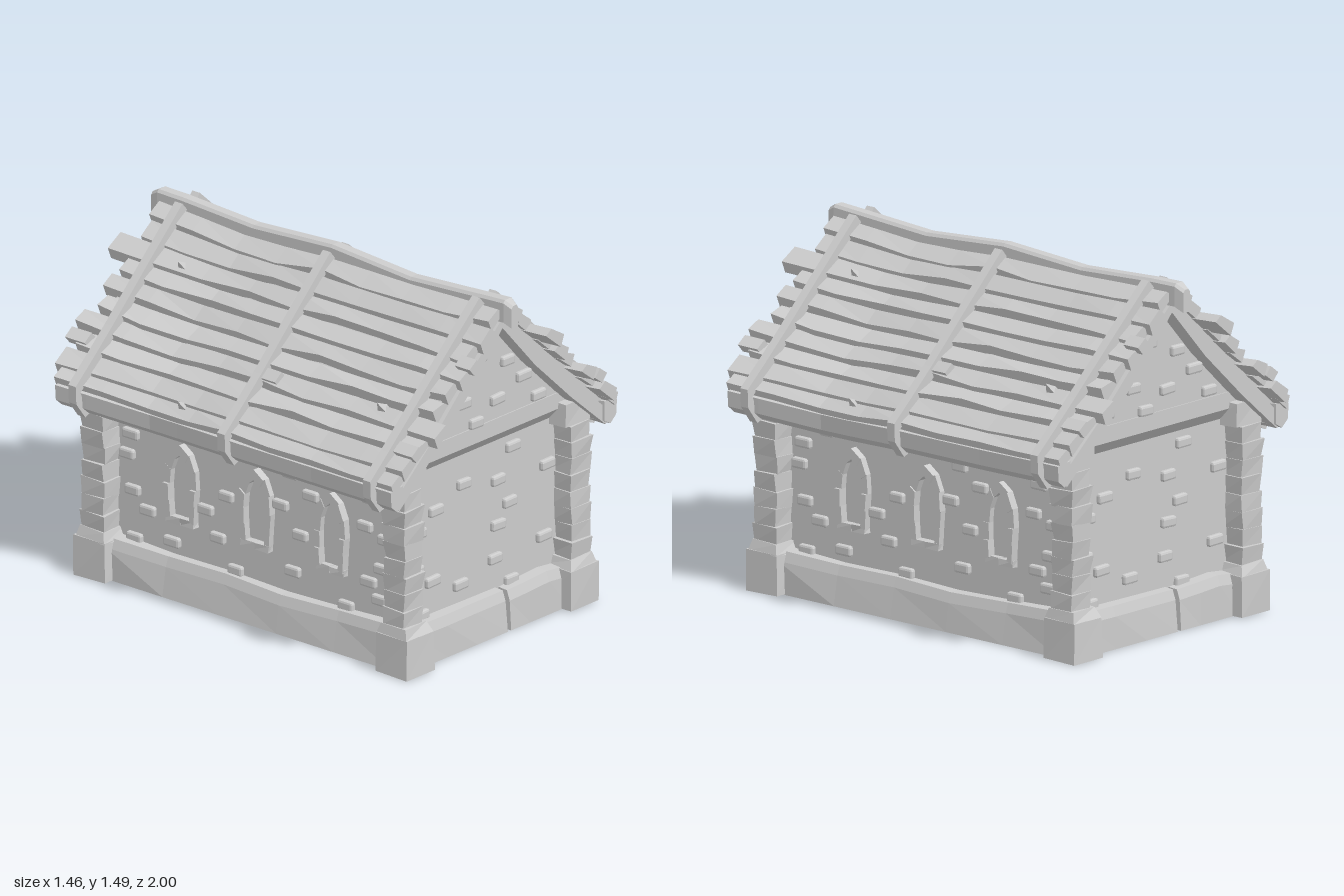
import * as THREE from 'three';
import { RoundedBoxGeometry } from 'three/addons/geometries/RoundedBoxGeometry.js';

const mat = new THREE.MeshStandardMaterial({ color: 0xcccccc, flatShading: true });
const V = (x, y, z) => new THREE.Vector3(x, y, z);
const WALL_X = 0.468, WALL_Z = 0.772, GABLE_Z = 0.812;
let seed = 7;
const rnd = (a) => { // seeded, in -a..a
  seed = (seed * 16807) % 2147483647;
  return (seed / 2147483647 * 2 - 1) * a;
};

function add(parent, name, geo, x = 0, y = 0, z = 0) {
  const m = new THREE.Mesh(geo, mat);
  m.name = name;
  m.position.set(x, y, z);
  parent.add(m);
  return m;
}

// Skin over rings that advance along +z, each counter-clockwise seen from +z
function loft(rings) {
  const p = [], n = rings[0].length;
  const tri = (...v) => v.forEach((q) => p.push(q.x, q.y, q.z));
  for (let k = 0; k + 1 < rings.length; k++) {
    for (let i = 0; i < n; i++) {
      const j = (i + 1) % n, r = rings[k], s = rings[k + 1];
      tri(r[i], r[j], s[j]);
      tri(r[i], s[j], s[i]);
    }
  }
  const first = rings[0], last = rings[rings.length - 1];
  for (let i = 1; i + 1 < n; i++) {
    tri(first[0], first[i + 1], first[i]);
    tri(last[0], last[i], last[i + 1]);
  }
  const g = new THREE.BufferGeometry();
  g.setAttribute('position', new THREE.Float32BufferAttribute(p, 3));
  g.computeVertexNormals();
  return g;
}

// Hewn block: corners nudged, top scaled
function roughBox(w, h, d, jitter, top = 1) {
  const g = new THREE.BoxGeometry(w, h, d), p = g.attributes.position, nudge = {};
  for (let i = 0; i < p.count; i++) {
    const v = V().fromBufferAttribute(p, i);
    const key = [v.x > 0, v.y > 0, v.z > 0].join();
    nudge[key] ??= V(rnd(jitter), rnd(jitter * 0.6), rnd(jitter));
    const s = v.y > 0 ? top : 1;
    p.setXYZ(i, v.x * s + nudge[key].x, v.y + nudge[key].y, v.z * s + nudge[key].z);
  }
  return g;
}

function extrude(points, depth) {
  const shape = new THREE.Shape(points.map(([x, y]) => new THREE.Vector2(x, y)));
  return new THREE.ExtrudeGeometry(shape, { depth, bevelEnabled: false });
}

// Roof slope line and its sag along the length
const slope = new THREE.CatmullRomCurve3(
  [[0.01, 1.43], [0.25, 1.215], [0.47, 1.015], [0.61, 0.89], [0.68, 0.83]].map(([x, y]) => V(x, y, 0)));
const onSlope = (t, off) => {
  const p = slope.getPointAt(t), d = slope.getTangentAt(t);
  return V(p.x - d.y * off, p.y + d.x * off, 0);
};
const sagKeys = [[-1, 0], [-0.8, 0], [-0.45, 0.025], [0, 0.025], [0.4, 0.075], [0.85, 0.01], [1.01, 0]];
function sag(v, z) {
  const i = Math.max(1, sagKeys.findIndex(([k]) => k >= z));
  const [z0, s0] = sagKeys[i - 1], [z1, s1] = sagKeys[i];
  const s = s0 + (s1 - s0) * (z - z0) / (z1 - z0);
  const side = Math.min(1, v.x / 0.5);
  return V(v.x - s * side, v.y - s * 0.5, z);
}
const steps = (a, b, n) => Array.from({ length: n + 1 }, (_, i) => a + (b - a) * i / n);

function buildRoof(g) {
  // Underlay and rounded eave
  const ts = steps(0, 1, 6);
  const under = [...ts.map((t) => onSlope(t, -0.04)), ...ts.map((t) => onSlope(t, 0.01)).reverse()];
  add(g, 'roofUnderlay', loft(steps(-0.87, 0.87, 12).map((z) => under.map((v) => sag(v, z)))));
  const eave = [V(0.62, 0.775), V(0.655, 0.755), V(0.69, 0.785), V(0.695, 0.85), V(0.62, 0.86)];
  add(g, 'eaveBoard', loft(steps(-0.9, 0.9, 12).map((z) => eave.map((v) => sag(v, z)))));

  // Warped, overlapping planks from ridge to eave: [back end, front end]
  const ends = [[-0.9, 0.91], [-0.92, 0.89], [-0.89, 1.0], [-0.93, 0.9], [-0.9, 0.93],
    [-0.9, 0.9], [-0.97, 0.96], [-0.92, 0.9], [-0.91, 0.94], [-0.9, 0.91]];
  ends.forEach(([back, front], i) => {
    const a = i / ends.length, b = Math.min(1, (i + 1.15) / ends.length);
    const tilt = 0.006 + rnd(0.007);
    const rings = steps(back, front, 8).map((z) => {
      const lo = Math.min(1, b + rnd(0.016)), lift = tilt + rnd(0.004);
      return [onSlope(lo, lift - 0.005), onSlope(lo - 0.02, lift + 0.045),
        onSlope(a + 0.01, 0.038 - tilt), onSlope(a, -0.005)].map((v) => sag(v, z));
    });
    add(g, 'roofPlank', loft(rings));
  });

  // Short patch planks and splinters
  for (const [t, z, len] of [[0.62, -0.03, 0.13], [0.72, 0.9, 0.1], [0.76, -0.88, 0.1], [0.28, -0.92, 0.08]]) {
    const ring = [onSlope(t + 0.06, 0.02), onSlope(t + 0.06, 0.065), onSlope(t, 0.06), onSlope(t, 0.015)];
    add(g, 'patchPlank', loft([z - len / 2, z + len / 2].map((q) => ring.map((v) => sag(v, q)))));
  }
  for (const [t, z] of [[0.27, 0.64], [0.92, 0.3], [0.63, -0.64]]) {
    const p = sag(onSlope(t, 0.035), z);
    add(g, 'splinter', new THREE.ConeGeometry(0.05, 0.1, 3), p.x, p.y, p.z).rotation.set(0.5, 0.4, -0.8);
  }

  // Straps wrapped over the planks
  for (const z of [-0.8, 0, 0.79]) {
    const pts = [...ts.map((t) => onSlope(t, 0.075)), V(0.725, 0.81), V(0.67, 0.738), V(0.645, 0.748),
      V(0.685, 0.82), ...ts.map((t) => onSlope(t, 0.03)).reverse()].map((v) => sag(v, z));
    add(g, 'roofStrap', extrude(pts.map((v) => [v.x, v.y]), 0.04), 0, 0, z - 0.02);
  }

  // Verge boards either side of the front gable
  const verge = [[0, 1.4], [0.23, 1.185], [0.45, 0.975], [0.67, 0.79], [0.63, 0.75], [0.42, 0.93], [0.2, 1.135], [0, 1.355]];
  for (const s of [1, -1]) {
    add(g, 'vergeBoard', extrude(verge.map(([x, y]) => [x * s, y]), 0.09), 0, 0, 0.8);
  }
}

function buildWindow(g, z0) {
  // Pointed arch of separate stones: [u, y] inner edge and outer edge
  const inner = [[0.048, 0.34], [0.054, 0.41], [0.056, 0.48], [0.05, 0.54], [0.03, 0.59], [0, 0.615]];
  const outer = [[0.073, 0.33], [0.078, 0.41], [0.084, 0.48], [0.078, 0.56], [0.05, 0.625], [0, 0.66]];
  const win = new THREE.Group();
  win.name = 'window';
  for (const s of [1, -1]) {
    for (let i = 0; i + 1 < inner.length; i++) {
      const quad = [inner[i], outer[i], outer[i + 1], inner[i + 1]].map(([u, y]) => [u * s, y]);
      add(win, 'archStone', extrude(quad, 0.042 + rnd(0.008)));
    }
    add(win, 'sillStone', roughBox(0.075, 0.03, 0.04, 0.004), s * 0.038, 0.328, 0.02);
  }
  win.position.set(WALL_X - 0.01, 0, z0);
  win.rotation.y = Math.PI / 2;
  g.add(win);
}

// Plinth run along z, its face towards +x
function plinth(z0, z1, face, n) {
  return loft(steps(z0, z1, n).map((z) => {
    const f = face + rnd(0.014), y = 0.16 + rnd(0.012);
    return [V(face - 0.13, 0, z), V(face + 0.01, 0, z), V(f, y - 0.03, z), V(f - 0.015, y + 0.012, z), V(face - 0.13, y + 0.02, z)];
  }));
}

const frontBricks = [[-0.39, 0.78], [-0.11, 0.685], [0.19, 0.76], [0.1, 0.64], [-0.28, 0.62], [0.4, 0.62],
  [-0.385, 0.55], [0.17, 0.525], [0.1, 0.445], [-0.4, 0.39], [-0.3, 0.32], [0.08, 0.305], [0.38, 0.315],
  [-0.13, 0.255], [-0.37, 0.19], [0.18, 0.185]];
const gableBricks = [[-0.06, 1.225], [0.11, 1.165], [-0.155, 1.055], [0.21, 1.07], [0.05, 1.015],
  [-0.31, 0.98], [0.3, 0.96], [-0.08, 0.95]];
const sideBricks = [[0.68, 0.63], [0.55, 0.7], [0.7, 0.54], [0.67, 0.39], [0.59, 0.32], [0.46, 0.22], [0.28, 0.405],
  [0.17, 0.49], [0.215, 0.3], [0.12, 0.185], [-0.17, 0.68], [-0.12, 0.53], [-0.225, 0.425], [-0.185, 0.26],
  [-0.28, 0.61], [-0.57, 0.555], [-0.6, 0.68], [-0.68, 0.52], [-0.59, 0.32], [-0.66, 0.39], [-0.65, 0.255],
  [-0.47, 0.185], [0.66, 0.185]];

function buildHalf() {
  const g = new THREE.Group();
  g.name = 'houseHalf';
  const brick = () => new RoundedBoxGeometry(0.08 + rnd(0.006), 0.045, 0.04, 1, 0.01);

  // Front gable with its sloped underside
  add(g, 'gableWall', extrude([[-0.5, 0.86], [0.5, 0.86], [0, 1.37]], 0.21), 0, 0, GABLE_Z - 0.21);
  const beam = add(g, 'gableBeam', extrude([[0.7, 0.81], [WALL_Z, 0.81], [GABLE_Z + 0.005, 0.86],
    [GABLE_Z + 0.005, 0.93], [0.7, 0.93]], 0.86), 0.43);
  beam.rotation.y = -Math.PI / 2;

  // Loose bricks standing proud of the walls
  frontBricks.forEach(([x, y]) => add(g, 'brick', brick(), x, y, WALL_Z).rotation.z = rnd(0.05));
  gableBricks.forEach(([x, y]) => add(g, 'brick', brick(), x, y, GABLE_Z).rotation.z = rnd(0.05));
  sideBricks.forEach(([z, y]) => add(g, 'brick', brick(), WALL_X, y, z).rotation.y = Math.PI / 2);
  [-0.4, 0, 0.4].forEach((z) => buildWindow(g, z));

  // Plinth: side run, and a front run split by a crack
  add(g, 'sidePlinth', plinth(-0.76, 0.76, 0.53, 5));
  for (const [a, b] of [[-0.46, -0.11], [-0.09, 0.46]]) {
    add(g, 'frontPlinth', plinth(a, b, 0.83, 3)).rotation.y = -Math.PI / 2;
  }

  // Corner posts of stacked stones
  for (const s of [1, -1]) {
    const x = s * 0.51, z = 0.805;
    add(g, 'cornerFoot', roughBox(0.17, 0.17, 0.17, 0.004, 0.96), s * 0.503, 0.086, z);
    add(g, 'cornerFootCap', roughBox(0.163, 0.045, 0.163, 0.006, 0.8), s * 0.503, 0.19, z);
    for (let i = 0; i < 8; i++) {
      const w = 0.106 + rnd(0.005);
      add(g, 'cornerStone', roughBox(w, 0.076, w, 0.006, i % 2 ? 1.1 : 1.16), x + rnd(0.003), 0.245 + i * 0.072, z);
    }
    add(g, 'cornerCapital', roughBox(0.15, 0.1, 0.14, 0.004, 0.98), s * 0.495, 0.835, 0.785);
  }
  buildRoof(g);
  return g;
}

export function createModel() {
  seed = 7;
  const model = new THREE.Group();
  model.name = 'stoneHouse';
  add(model, 'wallCore', new THREE.BoxGeometry(WALL_X * 2, 0.9, WALL_Z * 2), 0, 0.45, 0);

  // Two matching halves, turned half a circle
  const half = buildHalf(), other = half.clone();
  other.rotation.y = Math.PI;
  model.add(half, other);

  // Ridge beam, dipping between the straps
  const ridge = [[-0.97, 1.465, 0.02], [-0.93, 1.487, 0.03], [-0.8, 1.485, 0.03], [-0.42, 1.465, 0.03], [0, 1.49, 0.03],
    [0.42, 1.46, 0.03], [0.8, 1.483, 0.03], [0.92, 1.49, 0.03], [0.955, 1.47, 0.02]];
  add(model, 'ridgeBeam', loft(ridge.map(([z, y, w]) =>
    [V(-w, y - 0.095, z), V(w, y - 0.095, z), V(w, y - 0.012, z), V(w - 0.01, y, z), V(0.01 - w, y, z), V(-w, y - 0.012, z)])));
  return model;
}
